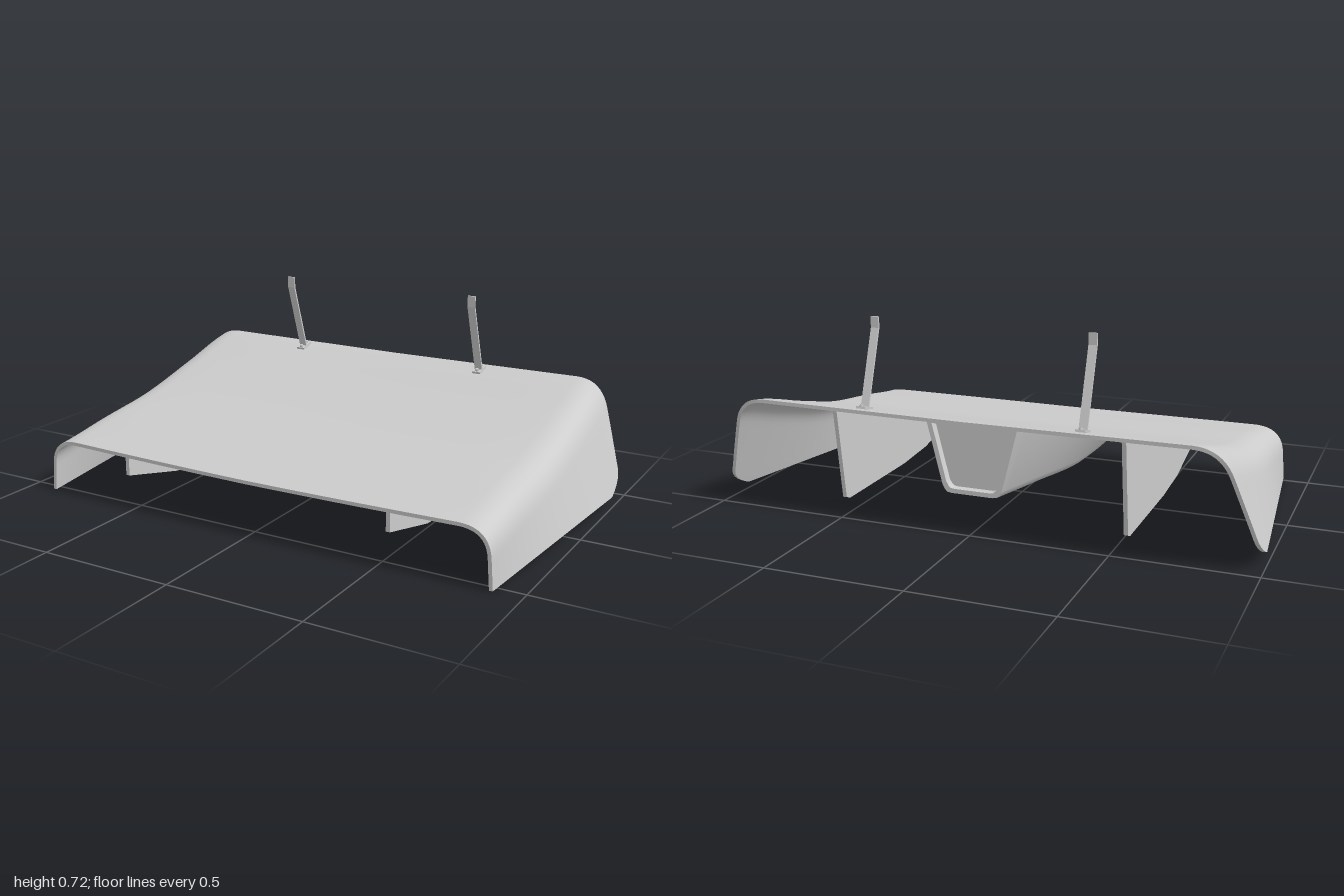
import * as THREE from 'three';
import { toCreasedNormals } from 'three/addons/utils/BufferGeometryUtils.js';

const material = new THREE.MeshStandardMaterial({ color: 0xcccccc });
const lerp = THREE.MathUtils.lerp;

// Height of the top panel along its length
const topSpline = new THREE.SplineCurve([[0.56, 0.208], [0.28, 0.248], [0, 0.287], [-0.28, 0.356], [-0.56, 0.428]]
  .map(p => new THREE.Vector2(...p)));
const topY = z => topSpline.getPoint(THREE.MathUtils.clamp((0.56 - z) / 1.12, 0, 1)).y;

// Skin closed rings (counterclockwise seen from the front) running front to back
function loft(rings, crease = 0.6) {
  const n = rings[0].length, last = (rings.length - 1) * n, index = [];
  for (let k = 0; k < rings.length - 1; k++) {
    for (let i = 0; i < n; i++) {
      const a = k * n + i, b = k * n + (i + 1) % n, d = a + n, c = b + n;
      index.push(a, d, c, a, c, b);
    }
  }
  for (let i = 0; i < n / 2 - 1; i++) {
    const a = i, b = i + 1, c = n - 2 - i, d = n - 1 - i;
    index.push(a, b, c, a, c, d);
    index.push(last + a, last + c, last + b, last + a, last + d, last + c);
  }
  const g = new THREE.BufferGeometry();
  g.setAttribute('position', new THREE.Float32BufferAttribute(rings.flat(2), 3));
  g.setIndex(index);
  return toCreasedNormals(g, crease);
}

function add(parent, name, geometry) {
  const mesh = new THREE.Mesh(geometry, material);
  mesh.name = name;
  parent.add(mesh);
  return mesh;
}

// Half section of the shell at z: side wall from the bottom up, rounded shoulder, flat top
function halfSection(z) {
  const f = (0.54 - z) / 1.08, y = topY(z);
  const bottom = new THREE.Vector2(lerp(0.9, 1.012, f), lerp(0.005, 0.045, f));
  const corner = new THREE.Vector2(lerp(0.885, 0.872, f), y);
  const down = bottom.clone().sub(corner).normalize().multiplyScalar(0.1).add(corner);
  const shoulder = new THREE.QuadraticBezierCurve(down, corner, new THREE.Vector2(0.775, y));
  const pts = [];
  for (let i = 0; i < 14; i++) pts.push(bottom.clone().lerp(down, (i / 14) ** 1.5));
  pts.push(...shoulder.getPoints(10));
  for (const x of [0.6, 0.4, 0.2, 0]) pts.push(new THREE.Vector2(x, y - 0.004 * (1 - x / 0.775)));
  return pts;
}

// Rear edge of the shell, sweeping forward and rounding off at the foot of each side
function rearZ(y) {
  return y > 0.13 ? lerp(-0.47, -0.55, (y - 0.13) / 0.3) : -0.47 + 0.11 * Math.min(1, (0.13 - y) / 0.088) ** 2;
}

function shellGeometry() {
  const rear = halfSection(-0.5), rings = [], steps = 28, t = 0.013;
  for (let k = 0; k <= steps; k++) {
    const half = rear.map((r, i) => {
      const frontZ = 0.545 - 0.013 * Math.min(1, (r.x / 0.8) ** 2);
      const back = i > 23 ? rearZ(rear[23].y) : rearZ(r.y);
      const z = lerp(frontZ, back, k / steps);
      const p = halfSection(z)[i];
      return [p.x, p.y, z];
    });
    const outer = [...half, ...half.slice(0, -1).reverse().map(([x, y, z]) => [-x, y, z])];
    const inner = outer.map(([x, y, z], i) => {
      const a = outer[Math.max(0, i - 1)], b = outer[Math.min(outer.length - 1, i + 1)];
      const dx = b[0] - a[0], dy = b[1] - a[1], l = Math.hypot(dx, dy);
      return [x - dy / l * t, y + dx / l * t, z];
    });
    rings.push([...outer, ...inner.reverse()]);
  }
  return loft(rings);
}

// Central keel: broad and shallow at the front, narrow and deep at the back, recessed rear panel
function keelGeometry() {
  // top half width, bottom half width, bottom height at even stations
  const stations = new THREE.CatmullRomCurve3([
    [0.32, 0.27, 0.192], [0.32, 0.255, 0.155], [0.3, 0.225, 0.135], [0.225, 0.155, 0.133], [0.17, 0.1, 0.142]
  ].map(p => new THREE.Vector3(...p)));
  const ring = (t, z) => {
    const { x: T, y: B, z: yb } = stations.getPoint(t), yt = topY(z) - 0.008, c = 0.025;
    const h = Math.min(c, (yt - yb) * 0.4);
    const right = [[B - c, yb], [B - c * 0.35, yb + h * 0.1], [B, yb + h * 0.4], [lerp(B, T, 0.15), yb + h * 1.1], [T, yt]];
    return [...right.slice().reverse().map(([x, y]) => [-x, y, z]), ...right.map(([x, y]) => [x, y, z])];
  };
  const rings = [];
  for (let k = 0; k <= 24; k++) rings.push(ring(k / 24, lerp(0.53, -0.475, k / 24)));
  const end = rings[24], inset = z => end.map(([x, y]) => [x * 0.87, 0.265 + (y - 0.265) * 0.87, z]);
  rings.push(inset(-0.475), inset(-0.445));
  return loft(rings);
}

// Strip following the underside of the top panel
function stripGeometry(width, z0, z1) {
  const rings = [];
  for (let k = 0; k <= 16; k++) {
    const z = lerp(z0, z1, k / 16), y = topY(z) - 0.012, w = width / 2;
    rings.push([[w, y, z], [-w, y, z], [-w, y - 0.009, z], [w, y - 0.009, z]]);
  }
  return loft(rings);
}

// Extrude an outline given as [z, y] across x
function sideExtrude(points, width) {
  const shape = new THREE.Shape(points.map(([z, y]) => new THREE.Vector2(-z, y)));
  const g = new THREE.ExtrudeGeometry(shape, { depth: width, bevelEnabled: false });
  return g.translate(0, 0, -width / 2).rotateY(Math.PI / 2);
}

export function createModel() {
  const model = new THREE.Group();
  model.name = 'diffuser';
  add(model, 'shell', shellGeometry());
  add(model, 'keel', keelGeometry());

  // Fins with mounting flanges
  const finOutline = [[0.53, 0.125], [0.25, 0.058], [0.05, 0.042], [-0.39, 0.04], [-0.415, 0.05]];
  for (let k = 0; k <= 12; k++) {
    const z = lerp(-0.465, 0.53, k / 12);
    finOutline.push([z, topY(z) - 0.01]);
  }
  // Support struts, bent upright at the tip
  const strutOutline = [[-0.489, 0.408], [-0.394, 0.684], [-0.394, 0.724], [-0.387, 0.724], [-0.387, 0.682], [-0.481, 0.408]];

  for (const [side, s] of [['left', 1], ['right', -1]]) {
    const fin = new THREE.Group();
    fin.name = side + 'Fin';
    fin.position.x = s * 0.533;
    add(fin, 'blade', sideExtrude(finOutline, 0.015));
    add(fin, 'flange', stripGeometry(0.12, 0.525, -0.48));
    model.add(fin);

    const strut = new THREE.Group();
    strut.name = side + 'Strut';
    strut.position.x = s * 0.4;
    add(strut, 'rod', sideExtrude(strutOutline, 0.03));
    const foot = add(strut, 'foot', new THREE.BoxGeometry(0.034, 0.008, 0.06));
    foot.position.set(0, topY(-0.485) + 0.004, -0.485);
    foot.rotation.x = 0.25;
    for (const z of [-0.465, -0.505]) {
      const bolt = add(strut, 'bolt', new THREE.CylinderGeometry(0.007, 0.007, 0.012, 10));
      bolt.position.set(0, topY(z) + 0.01, z);
      bolt.rotation.x = 0.25;
    }
    model.add(strut);
  }
  return model;
}
